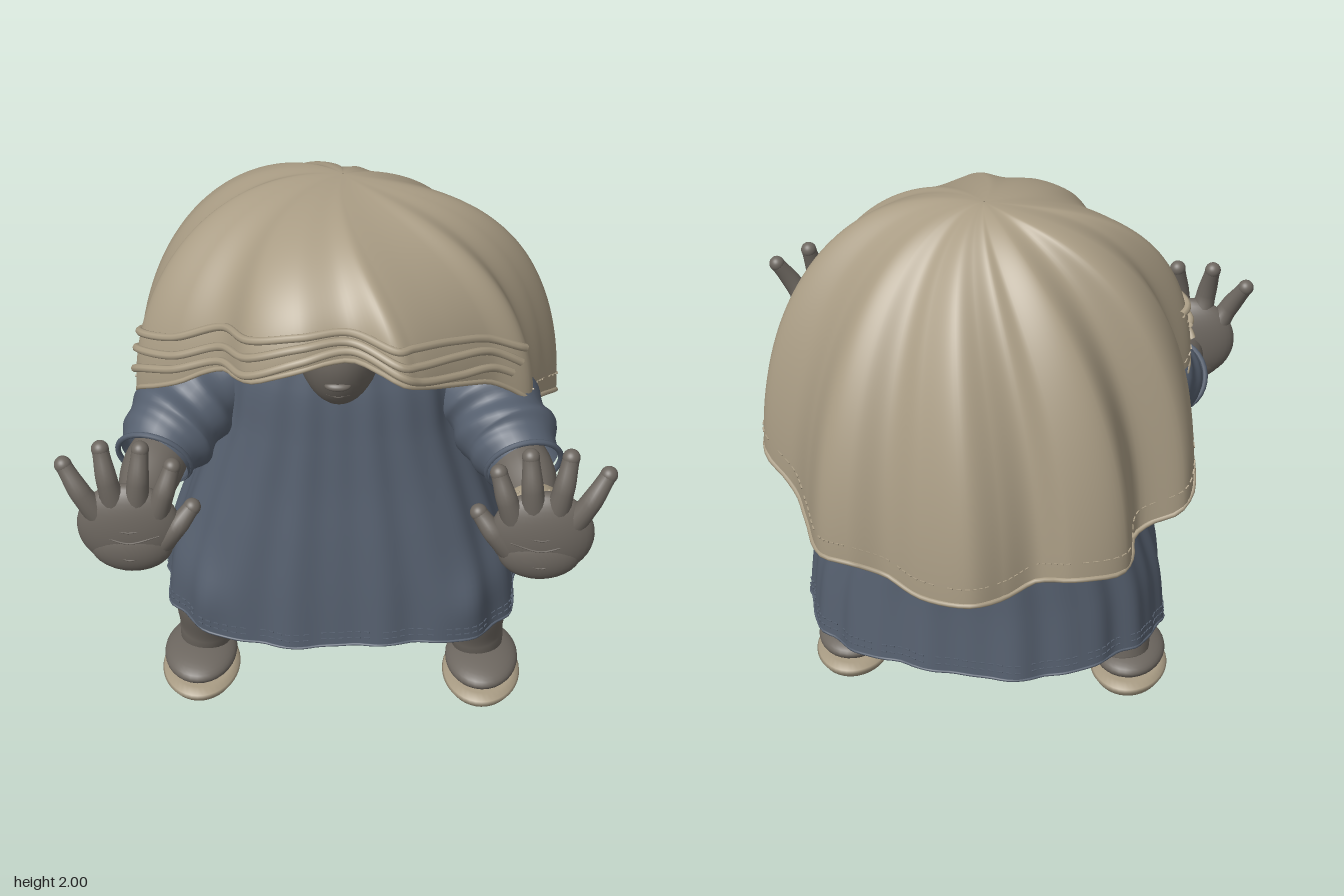
import * as THREE from 'three';
import { mergeGeometries } from 'three/addons/utils/BufferGeometryUtils.js';
import { ParametricGeometry } from 'three/addons/geometries/ParametricGeometry.js';

const V = (x, y, z) => new THREE.Vector3(x, y, z);

function makeMaterial(name, color, side = THREE.FrontSide) {
  const m = new THREE.MeshStandardMaterial({ color, side });
  m.name = name;
  return m;
}

// Limb following a spline, with a radius at each control point; closed rounds off both ends
function limb(points, radii, { closed = true, wrinkle = 0, seg = 22, rows = 36 } = {}) {
  const curve = new THREE.CatmullRomCurve3(points.map(p => V(...p)));
  const n = radii.length - 1;
  const ref = V(1, 0, 0);
  return new ParametricGeometry((u, v, out) => {
    const k = Math.min(n - 1, Math.floor(v * n)), f = THREE.MathUtils.smoothstep(v * n - k, 0, 1);
    let r = radii[k] + (radii[k + 1] - radii[k]) * f;
    if (closed) {
      const e = Math.max(0, Math.abs(v - 0.5) - 0.42) / 0.08;
      r *= Math.sqrt(Math.max(0.0004, 1 - e * e));
    }
    const a = u * Math.PI * 2;
    r *= 1 + wrinkle * Math.sin(v * 22 + 2 * Math.sin(a)) * Math.sin(v * Math.PI);
    const t = curve.getTangent(v);
    const nrm = V(0, 0, 0).crossVectors(t, ref).normalize();
    const bin = V(0, 0, 0).crossVectors(t, nrm);
    out.copy(curve.getPoint(v)).addScaledVector(nrm, r * Math.cos(a)).addScaledVector(bin, r * Math.sin(a));
  }, seg, rows);
}

function ellipsoid(c, s) {
  return new THREE.SphereGeometry(1, 32, 20).scale(...s).translate(...c);
}

// Row of little raised dashes laid along a path function
function stitches(path, u0, u1, count) {
  const parts = [], o = new THREE.Object3D();
  for (let i = 0; i < count; i++) {
    if (i % 7 === 6) continue;
    const u = u0 + (u1 - u0) * i / count;
    const a = path(u), b = path(u + (u1 - u0) / count * 0.6);
    o.position.copy(a).lerp(b, 0.5);
    o.lookAt(b);
    o.updateMatrix();
    parts.push(new THREE.BoxGeometry(0.005, 0.005, a.distanceTo(b)).applyMatrix4(o.matrix));
  }
  return mergeGeometries(parts);
}

function tubeAlong(path, u0, u1, radius, closed = false) {
  const pts = [];
  for (let i = 0; i < 60; i++) pts.push(path(u0 + (u1 - u0) * i / (closed ? 60 : 59)));
  return new THREE.TubeGeometry(new THREE.CatmullRomCurve3(pts, closed), 140, radius, 8, closed);
}

// Scalloped cape rim, clockwise from the back seen from above
const rimPoints = [
  [-.03, .84, -.775], [.15, .83, -.72], [.27, .86, -.65], [.4, .9, -.65], [.5, .9, -.61],
  [.57, .93, -.46], [.63, .98, -.34], [.765, 1.08, -.21], [.705, 1.16, -.05], [.65, 1.21, .07],
  [.655, 1.3, .2], [.52, 1.43, .29], [.4, 1.5, .41], [.27, 1.57, .54], [.215, 1.6, .575],
  [.05, 1.65, .51], [-.12, 1.63, .55], [-.29, 1.56, .51], [-.39, 1.52, .37], [-.56, 1.41, .3],
  [-.7, 1.31, .18], [-.65, 1.2, .05], [-.73, 1.1, -.15], [-.72, 1.0, -.32], [-.56, .93, -.38],
  [-.535, .9, -.59], [-.36, .9, -.67], [-.24, .87, -.64], [-.14, .84, -.71],
];
const rim = new THREE.CatmullRomCurve3(rimPoints.map(p => V(...p)), true);

// Dome from the crown down to the rim, swirling at the crown; fuller at the sides, leaner at the back
function capePoint(u, t, grow = 1) {
  const p = rim.getPoint(((u % 1) + 1) % 1);
  const a = t * Math.PI / 2, s = Math.sin(a) * grow;
  const x = p.x, z = p.z + 0.1, r = Math.hypot(x, z);
  const w = 0.45 * (1 - t) * (1 - t), c = Math.cos(w), n = Math.sin(w);
  const power = 1 + 0.25 * (x / r) ** 6 - 0.13 * Math.max(0, -z / r) ** 2;
  const drop = Math.pow(1 - Math.cos(a), power);
  return V((x * c - z * n) * s, 2 - (2 - p.y) * drop, -0.1 + (x * n + z * c) * s);
}

// Robe cross-sections: height, half width, front z, back z
const robeRows = [
  [.37, .64, .41, -.52], [.6, .615, .4, -.5], [.8, .555, .385, -.49], [1, .49, .365, -.46],
  [1.2, .425, .35, -.42], [1.42, .38, .33, -.36], [1.56, .27, .28, -.26], [1.62, .02, .06, -.03],
];
const robeShape = new THREE.CatmullRomCurve3(robeRows.map(r => V(r[1], r[0], r[2])));
const robeBack = new THREE.CatmullRomCurve3(robeRows.map(r => V(r[3], r[0], 0)));
function robePoint(u, v, grow = 1) {
  const s = robeShape.getPoint(v), back = robeBack.getPoint(v).x;
  const a = (u + 0.25) * Math.PI * 2, ca = Math.cos(a), sa = -Math.sin(a);
  // Square in front, round behind
  const e = 2.05 + 0.95 * THREE.MathUtils.smoothstep(sa, -0.4, 0.3);
  const round = Math.pow(Math.abs(ca) ** e + Math.abs(sa) ** e, -1 / e);
  const fold = (1 + 0.016 * (1 - v) * Math.cos(14 * a) + 0.008 * Math.cos(24 * a)) * grow * round;
  const mid = (s.z + back) / 2, half = (s.z - back) / 2;
  const p = V(s.x * ca * fold, s.y + 0.012 * (1 - v) * Math.cos(5 * a), mid + half * sa * fold);
  // Knees pushing the cloth forward
  if (sa > 0) p.z += 0.04 * Math.exp(-(((Math.abs(p.x) - 0.5) / 0.1) ** 2) - (((p.y - 0.52) / 0.13) ** 2)) * sa;
  return p;
}

export function createModel() {
  const group = new THREE.Group();
  const tan = makeMaterial('tan cloth', 0xa99c84, THREE.DoubleSide);
  const blue = makeMaterial('blue cloth', 0x56606f, THREE.DoubleSide);
  const skin = makeMaterial('grey skin', 0x6d6760);
  const add = (name, geo, mat, parent = group) => {
    const m = new THREE.Mesh(geo, mat);
    m.name = name;
    parent.add(m);
  };

  // Cape with thick rim, stitching and stacked front pleats
  add('cape', new ParametricGeometry((u, v, out) => out.copy(capePoint(u, 0.002 + 0.998 * v)), 240, 50), tan);
  add('capeRim', tubeAlong(u => capePoint(u, 1), 0, 1, 0.009, true), tan);
  add('capeStitches', stitches(u => capePoint(u, 0.96, 1.003), 20 / 29, 39 / 29, 110), tan);
  [0.81, 0.88, 0.95].forEach((t, i) => {
    const path = u => capePoint(u, t + 0.015 * Math.sin(u * 40 + i * 1.3), 1.008);
    add('capePleat', tubeAlong(path, (10.1 + 0.25 * i) / 29, (20.4 - 0.2 * i) / 29, 0.014), tan);
  });

  // Robe
  add('robe', new ParametricGeometry((u, v, out) => out.copy(robePoint(u, v)), 180, 48), blue);
  add('robeHem', tubeAlong(u => robePoint(u, 0), 0, 1, 0.005, true), blue);
  for (const v of [0.018, 0.034]) add('robeStitches', stitches(u => robePoint(u, v, 1.002), 0, 1, 130), blue);

  // Head, tapered to the chin
  const head = new THREE.SphereGeometry(1, 32, 24);
  const hp = head.attributes.position;
  for (let i = 0; i < hp.count; i++) {
    const k = 1 + 0.1 * Math.min(0, hp.getY(i));
    hp.setXYZ(i, hp.getX(i) * 0.15 * k, 1.575 + hp.getY(i) * 0.235, 0.26 + hp.getZ(i) * 0.2 * k);
  }
  head.computeVertexNormals();
  add('head', head, skin);
  add('nose', ellipsoid([0, 1.5, 0.43], [0.045, 0.018, 0.028]), skin);
  const ridge = pts => new THREE.TubeGeometry(new THREE.CatmullRomCurve3(pts.map(p => V(...p))), 12, 0.003, 6);
  add('mouth', ridge([[-.04, 1.45, .408], [0, 1.443, .415], [.04, 1.45, .408]]), skin);

  // Arms, hands, legs and sandals, mirrored
  for (const s of [1, -1]) {
    const side = s > 0 ? 'left' : 'right';
    const mx = pts => pts.map(([x, y, z]) => [x * s, y, z]);

    const arm = new THREE.Group();
    arm.name = side + 'Arm';
    group.add(arm);
    add('sleeve', limb(mx([[.3, 1.4, 0], [.49, 1.27, .12], [.58, 1.185, .25], [.63, 1.14, .355]]),
      [.13, .165, .165, .13], { closed: false, wrinkle: 0.06, seg: 28, rows: 44 }), blue, arm);
    const cuff = new THREE.TorusGeometry(0.13, 0.01, 8, 32).rotateX(0.35).rotateY(0.25 * s).translate(0.63 * s, 1.14, 0.355);
    add('cuff', cuff, blue, arm);
    add('forearm', limb(mx([[.55, 1.18, .2], [.63, 1.125, .38], [.655, 1.085, .54], [.67, 1.08, .7]]),
      [.09, .105, .088, .07]), skin, arm);

    const hand = new THREE.Group();
    hand.name = side + 'Hand';
    arm.add(hand);
    add('palm', ellipsoid([.68 * s, 1.115, .705], [.172, .165, .066]), skin, hand);
    add('palmHeel', ellipsoid([.675 * s, 1.045, .71], [.14, .105, .066]), skin, hand);
    // Four fingers and the thumb: base x, base y, tip x, tip y
    [[.77, 1.15, .885, 1.345], [.72, 1.19, .76, 1.41], [.65, 1.19, .63, 1.41], [.59, 1.16, .53, 1.345], [.58, 1.05, .47, 1.185]]
      .forEach(([bx, by, tx, ty], i) => {
        const pts = mx([[bx, by, .705], [(bx + tx) / 2, (by + ty) / 2, .718], [tx, ty, .69]]);
        const name = i < 4 ? 'finger' : 'thumb';
        add(name, limb(pts, [.046, .036, .028], { closed: false, seg: 16, rows: 16 }), skin, hand);
        add(name + 'Tip', ellipsoid(pts[2], [.029, .029, .029]), skin, hand);
      });
    // Palm creases, lying on the curved palm
    for (const [y, w, z] of [[1.13, .09, .77], [1.09, .1, .774], [1.02, .07, .774]]) {
      add('palmCrease', ridge(mx([[.675 - w, y + .02, z - .018], [.675, y, z], [.675 + w, y + .02, z - .018]])), skin, hand);
    }

    const leg = new THREE.Group();
    leg.name = side + 'Leg';
    group.add(leg);
    add('leg', limb(mx([[.515, .08, .06], [.502, .2, .085], [.485, .4, .13], [.42, .6, .13], [.36, .78, .1]]),
      [.09, .1, .12, .128, .13], { seg: 24 }), skin, leg);
    add('foot', ellipsoid([.525 * s, .095, .115], [.135, .054, .19]), skin, leg);
    const sole = new THREE.LatheGeometry([[0, 0], [.13, 0], [.145, .026], [.14, .036], [.12, .055], [0, .055]]
      .map(p => new THREE.Vector2(...p)), 40).scale(1, 1, 1.45).translate(.525 * s, 0, .115);
    add('sole', sole, tan, leg);
  }

  // Studded bracelet on the left wrist
  const bracelet = new THREE.Group();
  bracelet.name = 'bracelet';
  bracelet.position.set(0.655, 1.085, 0.545);
  bracelet.rotation.set(0.12, 0.1, 0);
  group.add(bracelet);
  const band = [[.088, -.027], [.104, -.027], [.104, .027], [.088, .027], [.088, -.027]].map(p => new THREE.Vector2(...p));
  add('braceletBand', new THREE.LatheGeometry(band, 36).rotateX(Math.PI / 2), tan, bracelet);
  for (let i = 0; i < 12; i++) {
    const a = i / 12 * Math.PI * 2;
    add('stud', new THREE.SphereGeometry(0.006, 8, 6).translate(0.104 * Math.cos(a), 0.104 * Math.sin(a), 0), tan, bracelet);
  }
  return group;
}
